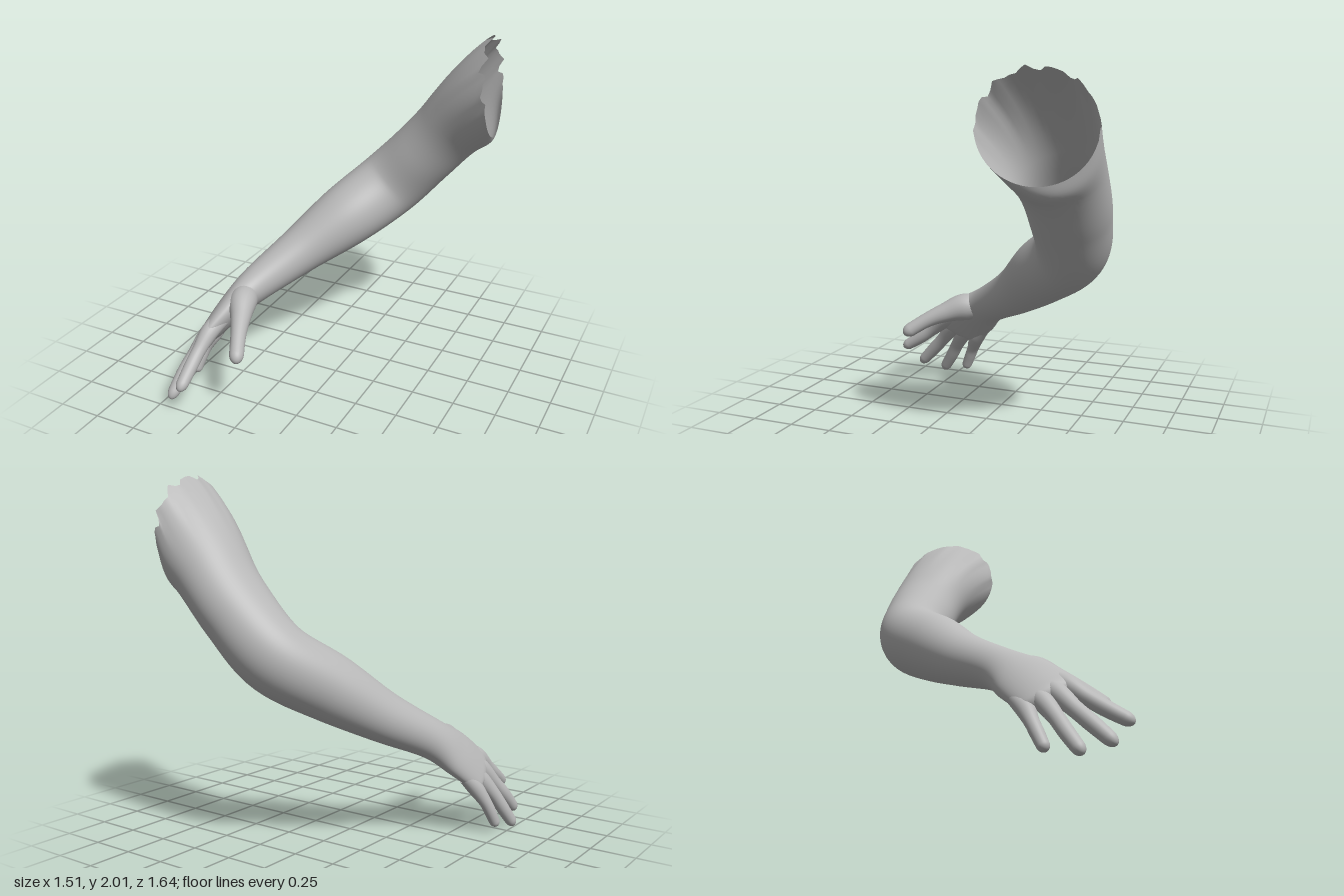
import * as THREE from 'three';

const V = (a) => new THREE.Vector3(a[0], a[1], a[2]);
const spline = (list) => new THREE.CatmullRomCurve3(list.map(V), false, 'catmullrom', 0.5);

// Loft of elliptical rings along a spline; the far end closes with a dome.
// Each section: { c: centre, r: [width, thickness], u: width direction }
function loft(sections, sides, steps, capStart, mouth) {
  const path = spline(sections.map((s) => s.c));
  const size = spline(sections.map((s) => [s.r[0], s.r[1], 0]));
  const wide = spline(sections.map((s) => s.u));
  const stops = [];
  for (let i = 0; i < steps; i++) stops.push([capStart * i / steps, 1]);
  for (let i = 0; i <= 10; i++) {
    const a = i / 10 * Math.PI / 2;
    stops.push([capStart + (1 - capStart) * Math.sin(a), Math.max(Math.cos(a), 0.002)]);
  }
  const pos = [], index = [];
  stops.forEach(([t, k], row) => {
    const c = path.getPoint(t), r = size.getPoint(t), d = path.getTangent(t);
    const near = mouth ? Math.max(0, 1 - t * (sections.length - 1)) : 0;
    if (near > 0) d.lerp(mouth.normal, near).normalize();
    const u = wide.getPoint(t);
    u.addScaledVector(d, -u.dot(d)).normalize();
    const v = d.clone().cross(u);
    for (let j = 0; j < sides; j++) {
      const a = j / sides * Math.PI * 2;
      const p = c.clone()
        .addScaledVector(u, Math.cos(a) * r.x * k)
        .addScaledVector(v, Math.sin(a) * r.y * k);
      if (near > 0) p.addScaledVector(mouth.pull, mouth.jag(a) * near * near);
      pos.push(p.x, p.y, p.z);
      if (row < stops.length - 1) {
        const A = row * sides + j, B = row * sides + (j + 1) % sides;
        index.push(A, B, A + sides, B, B + sides, A + sides);
      }
    }
  });
  const g = new THREE.BufferGeometry();
  g.setAttribute('position', new THREE.Float32BufferAttribute(pos, 3));
  g.setIndex(index);
  g.computeVertexNormals();
  return g;
}

export function createModel() {
  const group = new THREE.Group();
  const skin = new THREE.MeshStandardMaterial({ color: 0xb8b8b8, side: THREE.DoubleSide });
  skin.name = 'grey skin';
  const add = (name, geometry) => {
    const mesh = new THREE.Mesh(geometry, skin);
    mesh.name = name;
    group.add(mesh);
  };

  // Upper arm, forearm and palm in one skin, open with a torn edge at the shoulder
  const across = [-0.42, -0.6, -0.68];
  const arm = [
    { c: [0.7, 1.725, -0.525], r: [0.295, 0.275], u: [0, 0, -1] },
    { c: [0.48, 1.48, -0.575], r: [0.235, 0.205], u: [0, 0, -1] },
    { c: [0.3, 1.27, -0.575], r: [0.215, 0.195], u: [0, 0, -1] },
    { c: [0.1, 1.05, -0.525], r: [0.195, 0.2], u: [-0.1, -0.1, -1] },
    { c: [-0.09, 0.88, -0.31], r: [0.185, 0.185], u: [-0.25, -0.3, -0.9] },
    { c: [-0.28, 0.71, -0.09], r: [0.145, 0.14], u: [-0.35, -0.45, -0.8] },
    { c: [-0.44, 0.565, 0.15], r: [0.12, 0.105], u: across },
    { c: [-0.52, 0.465, 0.29], r: [0.155, 0.08], u: across },
    { c: [-0.585, 0.36, 0.41], r: [0.16, 0.058], u: across },
    { c: [-0.615, 0.305, 0.46], r: [0.15, 0.045], u: across },
  ];
  const mouth = {
    normal: new THREE.Vector3(-1, -0.1, 0.13).normalize(),
    pull: new THREE.Vector3(0.75, 0.5, 0),
    jag: (a) => Math.min(1, Math.max(0, 0.3 - Math.sin(a)) * 2)
      * (0.022 * Math.sin(13 * a) + 0.014 * Math.sin(21 * a + 1) - 0.012),
  };
  add('armAndPalm', loft(arm, 64, 72, 0.9, mouth));

  // Digits: centre points with a radius, from inside the palm to the tip
  const digits = {
    thumb: [[-0.47, 0.53, 0.2, 0.07], [-0.435, 0.53, 0.32, 0.085], [-0.385, 0.495, 0.43, 0.062],
      [-0.335, 0.445, 0.54, 0.046], [-0.275, 0.36, 0.67, 0.042]],
    indexFinger: [[-0.51, 0.46, 0.39, 0.05], [-0.545, 0.405, 0.5, 0.054], [-0.562, 0.325, 0.6, 0.042],
      [-0.565, 0.26, 0.69, 0.041], [-0.562, 0.18, 0.815, 0.034]],
    middleFinger: [[-0.55, 0.42, 0.36, 0.048], [-0.59, 0.355, 0.46, 0.053], [-0.632, 0.25, 0.555, 0.042],
      [-0.658, 0.165, 0.635, 0.041], [-0.68, 0.048, 0.745, 0.034]],
    ringFinger: [[-0.58, 0.38, 0.32, 0.046], [-0.62, 0.31, 0.4, 0.051], [-0.672, 0.205, 0.475, 0.041],
      [-0.705, 0.115, 0.53, 0.039], [-0.742, 0, 0.605, 0.033]],
    littleFinger: [[-0.6, 0.34, 0.27, 0.042], [-0.635, 0.27, 0.325, 0.047], [-0.675, 0.19, 0.365, 0.037],
      [-0.695, 0.125, 0.395, 0.035], [-0.715, 0.035, 0.435, 0.03]],
  };
  for (const [name, points] of Object.entries(digits)) {
    const sections = points.map(([x, y, z, r]) => ({ c: [x, y, z], r: [r, r * 0.95], u: across }));
    add(name, loft(sections, 24, 24, 0.92));
  }
  return group;
}
